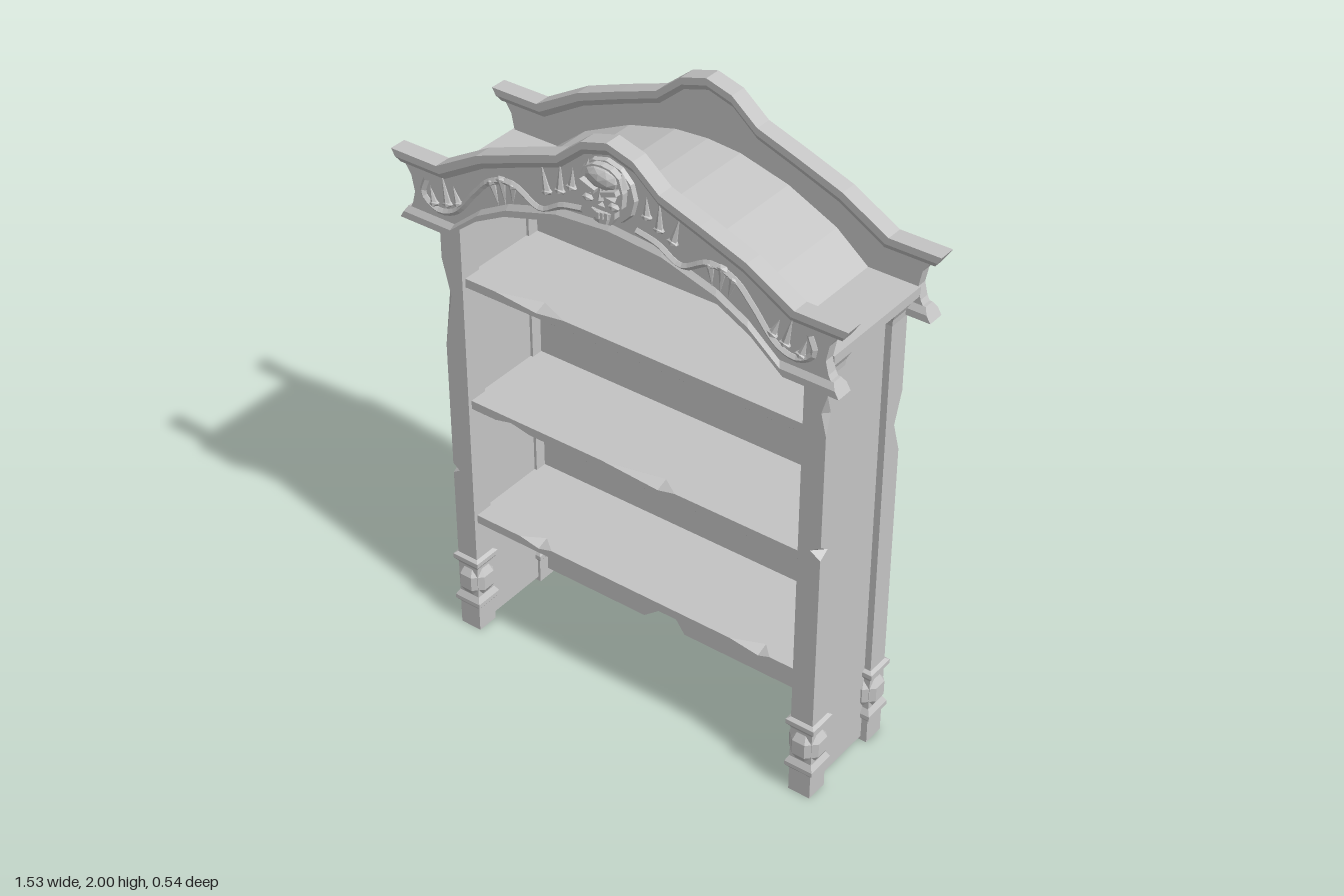
import * as THREE from 'three';

const stone = new THREE.MeshStandardMaterial({ color: 0xc4c4c4 });
stone.name = 'grey';

// Faceted mesh from any geometry
function part(parent, name, geo) {
  const g = geo.index ? geo.toNonIndexed() : geo;
  g.computeVertexNormals();
  const m = new THREE.Mesh(g, stone);
  m.name = name;
  parent.add(m);
  return m;
}

// Outline [x, y] pairs extruded from z0 to z1, with optional holes
function slab(points, z0, z1, holes = []) {
  const toV = (list) => list.map(([x, y]) => new THREE.Vector2(x, y));
  const shape = new THREE.Shape(toV(points));
  holes.forEach((h) => shape.holes.push(new THREE.Path(toV(h))));
  return new THREE.ExtrudeGeometry(shape, { depth: z1 - z0, bevelEnabled: false }).translate(0, 0, z0);
}

// Solid through a list of equal-length convex rings, faces turned outward
function loft(rings) {
  const tris = [], n = rings[0].length;
  for (let r = 0; r < rings.length - 1; r++) {
    for (let i = 0; i < n; i++) {
      const j = (i + 1) % n, a = rings[r], b = rings[r + 1];
      tris.push([a[i], a[j], b[j]], [a[i], b[j], b[i]]);
    }
  }
  const first = rings[0], last = rings[rings.length - 1];
  for (let i = 1; i < n - 1; i++) tris.push([first[0], first[i + 1], first[i]], [last[0], last[i], last[i + 1]]);
  const volume = tris.reduce((s, [a, b, c]) => s + a.dot(b.clone().cross(c)), 0);
  const pos = tris.flatMap((t) => (volume < 0 ? [t[0], t[2], t[1]] : t)).flatMap((v) => v.toArray());
  const g = new THREE.BufferGeometry();
  g.setAttribute('position', new THREE.Float32BufferAttribute(pos, 3));
  return g;
}

// Symmetric polyline from its right half, listed from the outside in to x = 0
const mirrored = (half) => [...half.map(([x, y]) => [-x, y]), ...half.slice(0, -1).reverse()];

const TOP = [[0.765, 1.72], [0.6, 1.72], [0.45, 1.805], [0.3, 1.86], [0.17, 1.905], [0.085, 1.975], [0, 2]];
const BOTTOM = [[0.745, 1.505], [0.57, 1.505], [0.465, 1.59], [0.36, 1.645], [0.18, 1.698], [0, 1.712]];
const ROOF = [[0.7, 1.6], [0.535, 1.6], [0.43, 1.685], [0.27, 1.76], [0.11, 1.802], [0, 1.81]];
const UNDER = [[0.7, 1.57], [0.52, 1.57], [0.42, 1.652], [0.26, 1.73], [0.1, 1.772], [0, 1.78]];

// Moulding swept along a polyline; dir is -1 below the path, +1 above it
function moulding(half, zc, dir) {
  const section = [[-0.028, 0], [0.028, 0], [0.028, 0.022], [0.017, 0.04], [-0.017, 0.04], [-0.028, 0.022]];
  return loft(mirrored(half).map(([x, y]) => section.map(([z, d]) =>
    new THREE.Vector3(x * (1 - d * 0.8), y + dir * d, zc + z))));
}

// Crown board with concave ends and mouldings above and below
function crown(name, zc) {
  const g = new THREE.Group();
  g.name = name;
  const upper = mirrored(TOP.slice(1)).map(([x, y]) => [x, y - 0.015]);
  const lower = mirrored(BOTTOM.slice(1)).map(([x, y]) => [x, y + 0.015]);
  const end = [[0.73, 1.69], [0.704, 1.65], [0.694, 1.6], [0.704, 1.56], [0.72, 1.53]];
  const flip = end.map(([x, y]) => [-x, y]).reverse();
  part(g, 'crownPanel', slab([...upper, ...end, ...lower.reverse(), ...flip], zc - 0.017, zc + 0.017));
  part(g, 'topMoulding', moulding(TOP, zc, -1));
  part(g, 'bottomMoulding', moulding(BOTTOM, zc, 1));
  return g;
}

// Corner post: chips are [start, deepest, end, depth] along its outer corner
function post(sx, zc, sz, chips) {
  const g = new THREE.Group();
  g.name = 'cornerPost';
  const h = 0.0375, cx = sx * 0.628;
  const cuts = [[0, 0], ...chips.flatMap(([a, b, c, d]) => [[a, 0], [b, d], [c, 0]]), [1.57, 0]];
  part(g, 'postShaft', loft(cuts.map(([y, d]) => {
    const c = Math.max(d, 0.0005);
    return [[-h, -h], [h, -h], [h, h - c], [h - c, h], [-h, h]].map(([x, z]) =>
      new THREE.Vector3(cx + sx * x, y, zc + sz * z));
  })));
  // turned collars, square in plan
  const collars = [
    [[0.085, 0.038], [0.098, 0.048], [0.112, 0.048], [0.138, 0.034]],
    [[0.215, 0.034], [0.245, 0.038], [0.26, 0.049], [0.275, 0.049], [0.282, 0.038]],
    [[1.5, 0.038], [1.52, 0.04], [1.54, 0.049], [1.57, 0.049]],
  ];
  const lathe = (pts, sides, k) => new THREE.LatheGeometry(
    [[pts[0][0], 0], ...pts, [pts[pts.length - 1][0], 0]].map(([y, r]) => new THREE.Vector2(r * k, y)), sides)
    .rotateY(Math.PI / sides).translate(cx, 0, zc);
  collars.forEach((p) => part(g, 'collar', lathe(p, 4, Math.SQRT2)));
  part(g, 'bulb', lathe([[0.13, 0.036], [0.16, 0.053], [0.21, 0.053], [0.238, 0.036]], 8, 1.06));
  return g;
}

// Shelf with chips [start, deepest, end, side] on its front edge; side +1 is the upper edge
function shelf(y, chips) {
  const cuts = [[-0.6, 0, 1], ...chips.flatMap(([a, b, c, s]) => [[a, 0, s], [b, 1, s], [c, 0, s]]), [0.6, 0, 1]];
  const z0 = -0.2, z1 = 0.135, y0 = y - 0.03;
  return loft(cuts.map(([x, d, s]) => {
    const t = s > 0 ? d : 0, b = s < 0 ? d : 0, e = 0.0005;
    return [[y0, z0], [y0, z1 - e - b * 0.04], [y0 + e + b * 0.014, z1], [y - e - t * 0.014, z1], [y, z1 - e - t * 0.04], [y, z0]]
      .map(([py, pz]) => new THREE.Vector3(x, py, pz));
  }));
}

// Flattened thorn from base to tip
function thorn(parent, [x0, y0, x1, y1]) {
  const len = Math.hypot(x1 - x0, y1 - y0), angle = Math.atan2(y1 - y0, x1 - x0) - Math.PI / 2;
  const spike = new THREE.ConeGeometry(0.014, len, 6).translate(0, len / 2, 0);
  const root = new THREE.IcosahedronGeometry(0.018, 0).scale(1.1, 0.6, 1);
  for (const [name, geo] of [['thorn', spike], ['thornRoot', root]]) {
    part(parent, name, geo.scale(1, 1, 0.9).rotateZ(angle).translate(x0, y0, 0.211));
  }
}

// Skull on a round medallion
function skull() {
  const g = new THREE.Group();
  g.name = 'skullMedallion';
  const cyl = (r0, r1, d, n) => new THREE.CylinderGeometry(r0, r1, d, n).rotateX(Math.PI / 2);
  part(g, 'medallion', cyl(0.092, 0.1, 0.024, 12).translate(0, 1.857, 0.212));
  const face = mirrored([[0.028, 1.772], [0.042, 1.795], [0.043, 1.815], [0.066, 1.835], [0.07, 1.88], [0.058, 1.922], [0.03, 1.94], [0, 1.944]]);
  const eye = (s) => [[s * 0.013, 1.852], [s * 0.045, 1.848], [s * 0.054, 1.874], [s * 0.017, 1.864]];
  part(g, 'face', slab(face, 0.215, 0.245, [eye(1), eye(-1), [[-0.012, 1.822], [0.012, 1.822], [0, 1.845]]]));
  part(g, 'forehead', new THREE.IcosahedronGeometry(1, 1).scale(0.058, 0.034, 0.026).translate(0, 1.907, 0.238));
  part(g, 'jaw', new THREE.CylinderGeometry(0.036, 0.026, 0.034, 8).scale(1, 1, 0.6).translate(0, 1.792, 0.24));
  part(g, 'noseBridge', new THREE.ConeGeometry(0.011, 0.04, 4).translate(0, 1.864, 0.248));
  for (const s of [-1, 1]) {
    part(g, 'brow', new THREE.BoxGeometry(0.052, 0.014, 0.022).rotateZ(s * 0.35).translate(s * 0.036, 1.878, 0.253));
    part(g, 'cheekbone', new THREE.IcosahedronGeometry(0.017, 0).scale(1.2, 0.7, 0.9).translate(s * 0.043, 1.835, 0.244));
    part(g, 'templeHorn', new THREE.ConeGeometry(0.014, 0.05, 5).rotateZ(s * 0.25).translate(s * 0.06, 1.915, 0.228));
  }
  for (let i = -2; i <= 2; i++) {
    part(g, 'tooth', new THREE.BoxGeometry(0.009, 0.02, 0.008).translate(i * 0.011, 1.803, 0.261 - Math.abs(i) * 0.004));
  }
  return g;
}

export function createModel() {
  const model = new THREE.Group();
  model.name = 'bookcase';

  // Crown boards and the arched roof between them
  model.add(crown('frontCrown', 0.194), crown('backCrown', -0.243));
  part(model, 'archedRoof', slab([...mirrored(ROOF), ...mirrored(UNDER).reverse()], -0.23, 0.18));

  // Posts
  model.add(
    post(1, 0.111, 1, [[0.89, 0.912, 0.935, 0.035], [1.31, 1.38, 1.44, 0.018]]),
    post(-1, 0.111, 1, [[0.59, 0.606, 0.625, 0.025], [1.06, 1.24, 1.36, 0.03]]),
    post(1, -0.19, -1, [[1.05, 1.15, 1.25, 0.032]]),
    post(-1, -0.19, -1, [[0.37, 0.5, 0.75, 0.02]]),
  );

  // Side panels
  for (const s of [-1, 1]) {
    part(model, 'sidePanel', new THREE.BoxGeometry(0.045, 1.56, 0.25).translate(s * 0.622, 0.795, -0.04));
  }

  // Back panel with a broken lower edge
  const arch = mirrored(UNDER.slice(1)).map(([x, y]) => [x, y + 0.01]).reverse();
  part(model, 'backPanel', slab([
    [-0.62, 0.03], [-0.2, 0.03], [-0.1, 0.11], [-0.042, 0.03], [0.434, 0.03], [0.466, 0.155], [0.497, 0.03],
    [0.62, 0.03], [0.62, 1.57], ...arch, [-0.62, 1.57]], -0.215, -0.192));
  for (const [x, y] of [[-0.28, 0.625], [0.2, 0.235], [-0.37, 1.265], [0.4, 1.33]]) {
    part(model, 'splinter', new THREE.TetrahedronGeometry(0.03).scale(1, 0.7, 0.35).rotateZ(x * 3).translate(x, y, -0.19));
  }

  // Shelves
  part(model, 'topShelf', shelf(1.31, [[-0.48, -0.33, -0.23, 1], [0.24, 0.32, 0.38, -1]]));
  part(model, 'middleShelf', shelf(0.88, [[-0.5, -0.44, -0.37, -1], [-0.1, 0.1, 0.16, 1]]));
  part(model, 'lowerShelf', shelf(0.45, [[-0.42, -0.35, -0.3, 1], [0.36, 0.46, 0.5, 1]]));

  // Carved vines, thorns and skull
  const vine = [[0.645, 1.66], [0.66, 1.61], [0.61, 1.573], [0.545, 1.59], [0.465, 1.68], [0.41, 1.735], [0.33, 1.755], [0.235, 1.712], [0.16, 1.75], [0.09, 1.765]];
  const thorns = [
    [0.57, 1.605, 0.59, 1.695], [0.53, 1.62, 0.55, 1.67], [0.62, 1.59, 0.635, 1.64],
    [0.405, 1.735, 0.385, 1.665], [0.37, 1.755, 0.36, 1.675], [0.33, 1.75, 0.335, 1.685],
    [0.21, 1.775, 0.23, 1.855], [0.165, 1.795, 0.165, 1.885], [0.125, 1.82, 0.122, 1.88],
  ];
  for (const s of [-1, 1]) {
    const path = new THREE.CatmullRomCurve3(vine.map(([x, y]) => new THREE.Vector3(s * x, y, 0.211)));
    part(model, 'vine', new THREE.TubeGeometry(path, 36, 0.011, 5, false));
    thorns.forEach(([a, b, c, d]) => thorn(model, [s * a, b, s * c, d]));
  }
  model.add(skull());
  return model;
}
